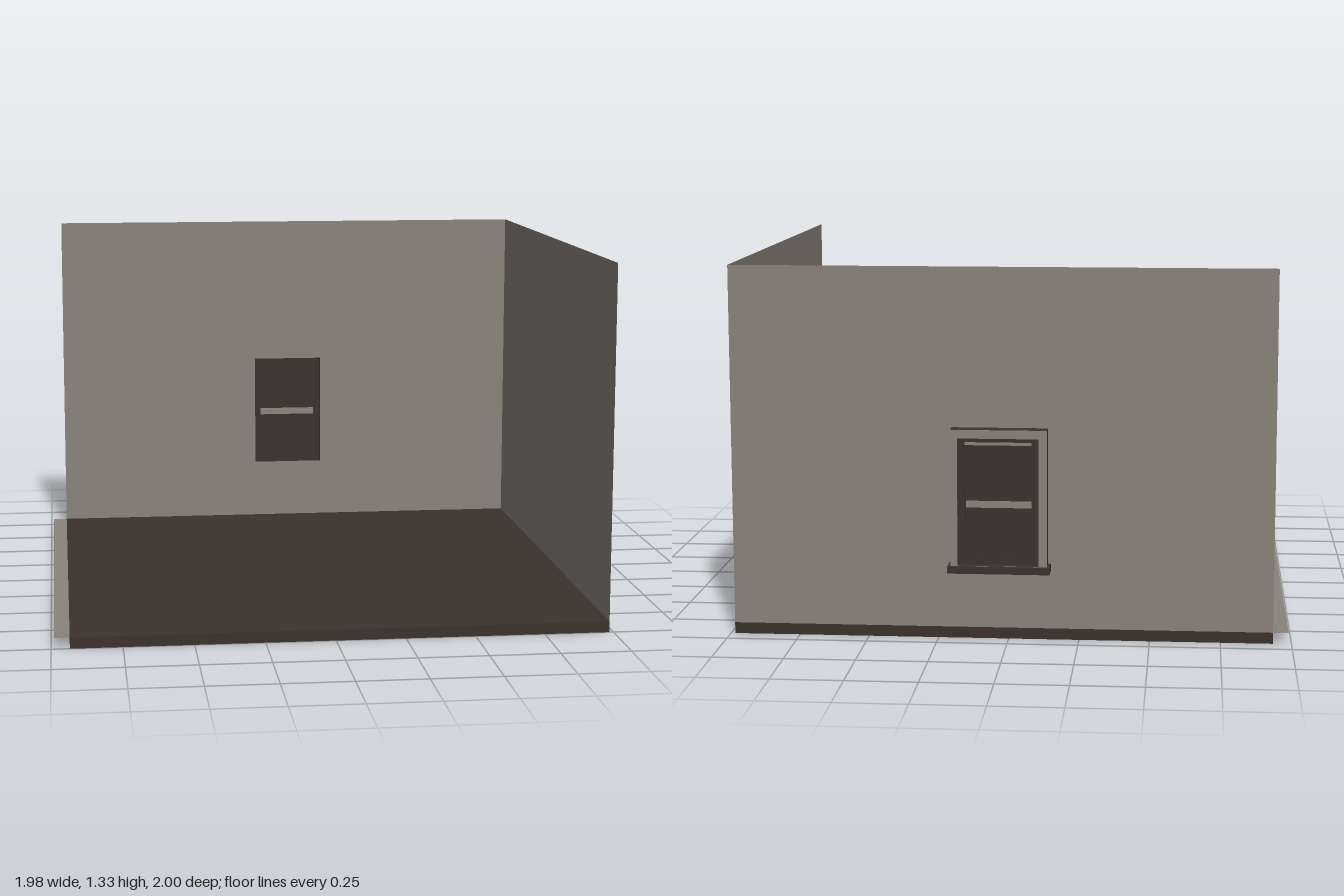
import * as THREE from 'three';

const wallPaint = new THREE.MeshStandardMaterial({ color: 0x8a847a, side: THREE.DoubleSide });
wallPaint.name = 'warm grey paint';
const darkWood = new THREE.MeshStandardMaterial({ color: 0x3b322b });
darkWood.name = 'dark brown wood';

const LEFT = 0.985, RIGHT = -0.935, BACK = -0.928, FRONT = 1;
const FLOOR = 0.04, TOP = 1.325;

// Rectangle outline, used for walls, frames and holes
function rect(x0, y0, x1, y1, Type = THREE.Shape) {
  return new Type([
    new THREE.Vector2(x0, y0), new THREE.Vector2(x1, y0),
    new THREE.Vector2(x1, y1), new THREE.Vector2(x0, y1),
  ]);
}

// Rectangle with a rectangular opening
function ring(outer, inner) {
  const shape = rect(...outer);
  shape.holes.push(rect(...inner, THREE.Path));
  return shape;
}

function add(parent, name, geometry, material) {
  const mesh = new THREE.Mesh(geometry, material);
  mesh.name = name;
  parent.add(mesh);
  return mesh;
}

// Box given by its limits on each axis
function box(parent, name, [x0, x1], [y0, y1], [z0, z1], material) {
  const mesh = add(parent, name, new THREE.BoxGeometry(x1 - x0, y1 - y0, z1 - z0), material);
  mesh.position.set((x0 + x1) / 2, (y0 + y1) / 2, (z0 + z1) / 2);
  return mesh;
}

function extrude(parent, name, shape, z0, z1, material) {
  const geometry = new THREE.ExtrudeGeometry(shape, { depth: z1 - z0, bevelEnabled: false });
  add(parent, name, geometry, material).position.z = z0;
}

function createWindow() {
  const win = new THREE.Group();
  win.name = 'window';
  const opening = [-0.11, 0.275, 0.175, 0.73];

  // Casing with a painted outer face
  extrude(win, 'windowFrame', ring([-0.14, 0.26, 0.2, 0.76], opening), -0.983, BACK - 0.001, darkWood);
  extrude(win, 'frameTrim', ring([-0.14, 0.275, 0.2, 0.76], opening), -0.986, -0.983, wallPaint);
  box(win, 'sill', [-0.15, 0.21], [0.25, 0.275], [-1, BACK], darkWood);

  // Two sliding sashes, the upper one further out
  const sashes = [
    { name: 'upperSash', y: [0.495, 0.73], z: -0.965 },
    { name: 'lowerSash', y: [0.275, 0.495], z: -0.95 },
  ];
  for (const { name, y, z } of sashes) {
    const [y0, y1] = y;
    extrude(win, name, ring([-0.11, y0, 0.175, y1], [-0.085, y0 + 0.02, 0.15, y1 - 0.02]),
      z - 0.007, z + 0.007, darkWood);
    box(win, name + 'Pane', [-0.09, 0.155], [y0 + 0.015, y1 - 0.015], [z - 0.003, z + 0.003], darkWood);
  }
  box(win, 'meetingRail', [-0.085, 0.145], [0.483, 0.507], [-0.976, -0.938], wallPaint);
  box(win, 'topRailTrim', [-0.085, 0.15], [0.705, 0.715], [-0.976, -0.972], wallPaint);
  return win;
}

export function createModel() {
  const room = new THREE.Group();
  room.name = 'roomCorner';

  // Floor slab with a painted underside
  box(room, 'floor', [RIGHT, LEFT], [0, FLOOR], [BACK, FRONT],
    [darkWood, darkWood, darkWood, wallPaint, darkWood, darkWood]);

  // Back wall with the window opening
  const back = ring([RIGHT, FLOOR, LEFT, TOP], [-0.11, 0.275, 0.175, 0.73]);
  add(room, 'backWall', new THREE.ShapeGeometry(back), wallPaint).position.z = BACK;

  // Left side wall
  const side = add(room, 'sideWall', new THREE.PlaneGeometry(FRONT - BACK, TOP - FLOOR), wallPaint);
  side.rotation.y = Math.PI / 2;
  side.position.set(LEFT, (TOP + FLOOR) / 2, (FRONT + BACK) / 2);

  // Thin strip along the open side
  const strip = add(room, 'edgeStrip', new THREE.PlaneGeometry(0.055, FRONT - BACK), wallPaint);
  strip.rotation.x = -Math.PI / 2;
  strip.position.set(RIGHT - 0.0275, FLOOR, (FRONT + BACK) / 2);

  room.add(createWindow());
  return room;
}
